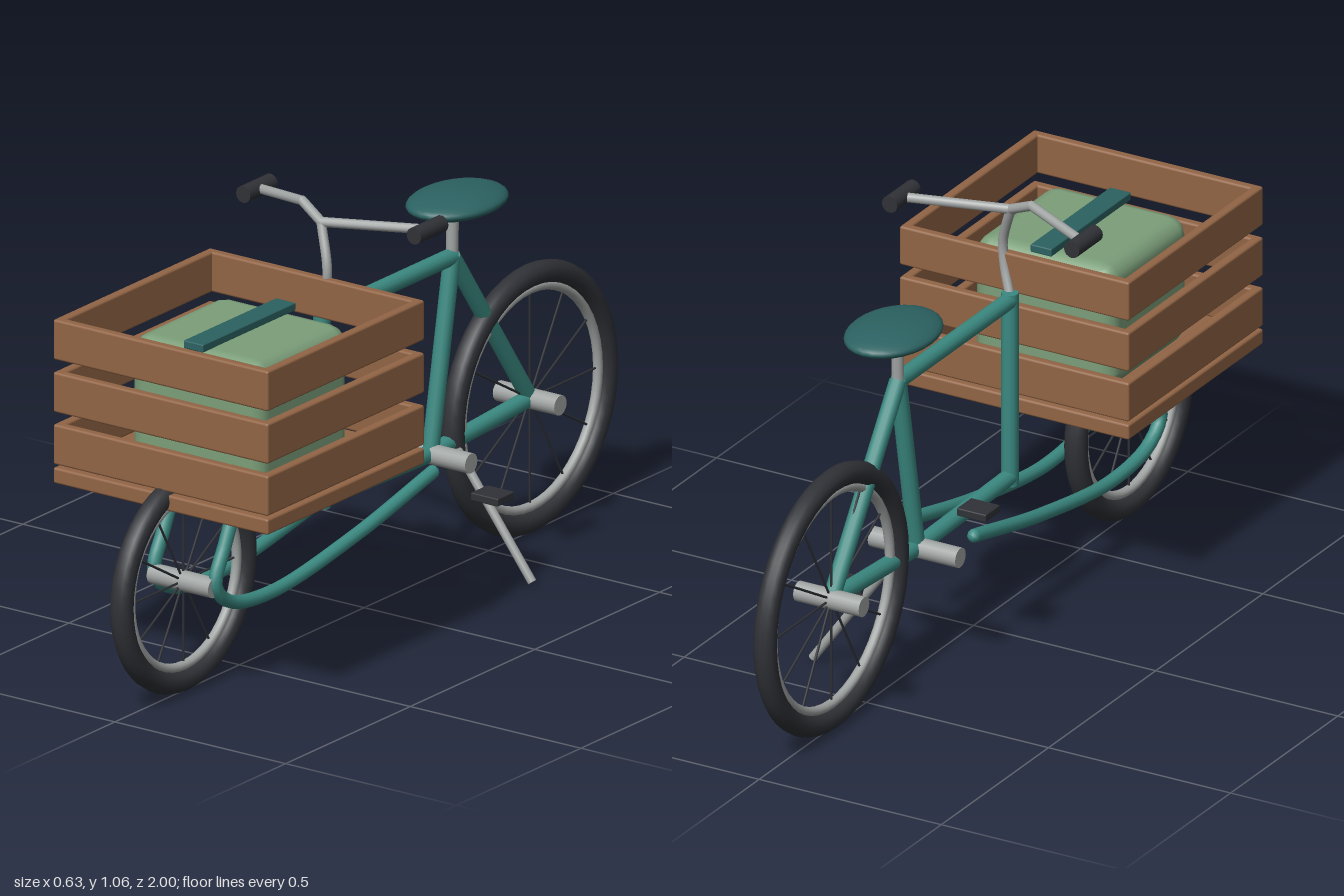
import * as THREE from 'three';
import { RoundedBoxGeometry } from 'three/addons/geometries/RoundedBoxGeometry.js';

const mat = (color) => new THREE.MeshStandardMaterial({ color });
const V = (p) => new THREE.Vector3(...p);

export function createModel() {
  const root = new THREE.Group();
  const teal = mat(0x3b8a82), darkTeal = mat(0x2c6262), steel = mat(0xa0a4a3);
  const rubber = mat(0x303237), wood = mat(0x926545), green = mat(0x7c9f7a);

  const add = (name, geometry, material, pos = [0, 0, 0], parent = root) => {
    const m = new THREE.Mesh(geometry, material);
    m.name = name;
    m.position.set(...pos);
    parent.add(m);
    return m;
  };
  // Straight round bar between two points
  const bar = (name, a, b, r, material, parent = root, sides = 12) => {
    const d = V(b).sub(V(a));
    const m = add(name, new THREE.CylinderGeometry(r, r, d.length(), sides), material, [0, 0, 0], parent);
    m.position.copy(V(a)).addScaledVector(d, 0.5);
    m.quaternion.setFromUnitVectors(new THREE.Vector3(0, 1, 0), d.normalize());
    return m;
  };
  const box = (name, size, pos, material, r = 0.006, parent = root) =>
    add(name, new RoundedBoxGeometry(...size, 2, r), material, pos, parent);

  // Wheels: tyre, rim, hub and spokes
  const wheel = (name, y, z, R) => {
    const g = new THREE.Group();
    g.name = name;
    g.position.set(0, y, z);
    root.add(g);
    const ring = (n, r, t, m) => {
      add(n, new THREE.TorusGeometry(r, t, 12, 48), m, [0, 0, 0], g).rotation.y = Math.PI / 2;
    };
    ring('tyre', R - 0.028, 0.028, rubber);
    ring('rim', R - 0.062, 0.012, steel);
    bar('hub', [-0.09, 0, 0], [0.09, 0, 0], 0.025, steel, g, 16);
    for (let i = 0; i < 12; i++) {
      const a = (i * Math.PI) / 6, s = R - 0.062;
      bar('spoke', [0, 0, 0], [0, Math.sin(a) * s, Math.cos(a) * s], 0.003, rubber, g, 6);
    }
  };
  wheel('frontWheel', 0.28, 0.725, 0.275);
  wheel('rearWheel', 0.34, -0.664, 0.336);

  // Main frame
  const headTop = [0, 0.785, 0.17], headLow = [0, 0.325, 0.17];
  const seatTop = [0, 0.785, -0.352], bracket = [0, 0.315, -0.265], axle = [0, 0.34, -0.664];
  const tubes = [
    ['headTube', [0, 0.805, 0.17], [0, 0.305, 0.17]],
    ['topTube', headTop, seatTop],
    ['bottomTube', headLow, bracket],
    ['seatTube', bracket, seatTop],
    ['seatStay', seatTop, axle],
    ['chainStay', bracket, axle],
  ];
  for (const [name, a, b] of tubes) bar(name, a, b, 0.021, teal);
  bar('bottomBracket', [-0.12, 0.315, -0.265], [0.12, 0.315, -0.265], 0.025, steel, root, 16);

  // Paired rails sweeping under the crate and up around the front axle
  for (const s of [-1, 1]) {
    const x = 0.09 * s;
    const path = new THREE.CatmullRomCurve3([
      [x, 0.32, -0.15], [x, 0.25, 0.16], [x, 0.205, 0.5],
      [x, 0.23, 0.665], [x, 0.285, 0.72], [x, 0.38, 0.68], [x, 0.53, 0.605],
    ].map(V));
    add(s < 0 ? 'rightRail' : 'leftRail', new THREE.TubeGeometry(path, 48, 0.017, 10), teal);
    // Caps on the rail ends
    add('railCap', new THREE.SphereGeometry(0.017, 10, 6), teal, [x, 0.32, -0.15]);
    add('railCap', new THREE.SphereGeometry(0.017, 10, 6), teal, [x, 0.53, 0.605]);

    // Pedals
    box(s < 0 ? 'rightPedal' : 'leftPedal', [0.08, 0.02, 0.068],
      [0.13 * s, s < 0 ? 0.415 : 0.215, s < 0 ? -0.198 : -0.337], rubber, 0.003);

    // Grips
    bar(s < 0 ? 'rightGrip' : 'leftGrip', [0.25 * s, 1.03, 0.033], [0.25 * s, 1.03, 0.143], 0.021, rubber, root, 16);
  }

  // Stem and handlebar
  const stem = new THREE.CatmullRomCurve3([
    [0, 0.78, 0.175], [0.028, 0.86, 0.192], [0.034, 0.92, 0.195], [0, 1.02, 0.172],
  ].map(V));
  add('stem', new THREE.TubeGeometry(stem, 20, 0.012, 10), steel);
  const joints = [[-0.25, 1.03, 0.085], [-0.07, 1.055, 0.152], [0, 1.022, 0.172], [0.25, 1.03, 0.085]];
  joints.slice(1).forEach((p, i) => {
    bar('handlebar', joints[i], p, 0.012, steel);
    add('handlebarJoint', new THREE.SphereGeometry(0.012, 10, 8), steel, p);
  });

  // Saddle and post
  bar('seatPost', [0, 0.77, -0.352], [0, 0.92, -0.356], 0.015, steel);
  add('saddle', new THREE.SphereGeometry(1, 28, 16), darkTeal, [0, 0.92, -0.373]).scale.set(0.107, 0.031, 0.147);

  // Kickstand
  bar('kickstand', [0.01, 0.315, -0.35], [0.228, 0.012, -0.362], 0.011, steel);

  // Crate: floor and three rows of slats
  const crate = new THREE.Group();
  crate.name = 'crate';
  crate.position.set(0, 0, 0.503);
  root.add(crate);
  box('crateFloor', [0.63, 0.04, 0.63], [0, 0.505, 0], wood, 0.006, crate);
  for (const y of [0.583, 0.714, 0.846]) {
    for (const s of [-1, 1]) {
      box('crossSlat', [0.63, 0.101, 0.024], [0, y, 0.303 * s], wood, 0.006, crate);
      box('sideSlat', [0.024, 0.101, 0.62], [0.303 * s, y, 0], wood, 0.006, crate);
    }
  }

  // Soft cargo bag with a strap over it
  box('cargoBag', [0.386, 0.325, 0.376], [0, 0.685, 0.5], green, 0.045);
  box('strap', [0.058, 0.02, 0.372], [0, 0.856, 0.5], darkTeal, 0.003);

  return root;
}
